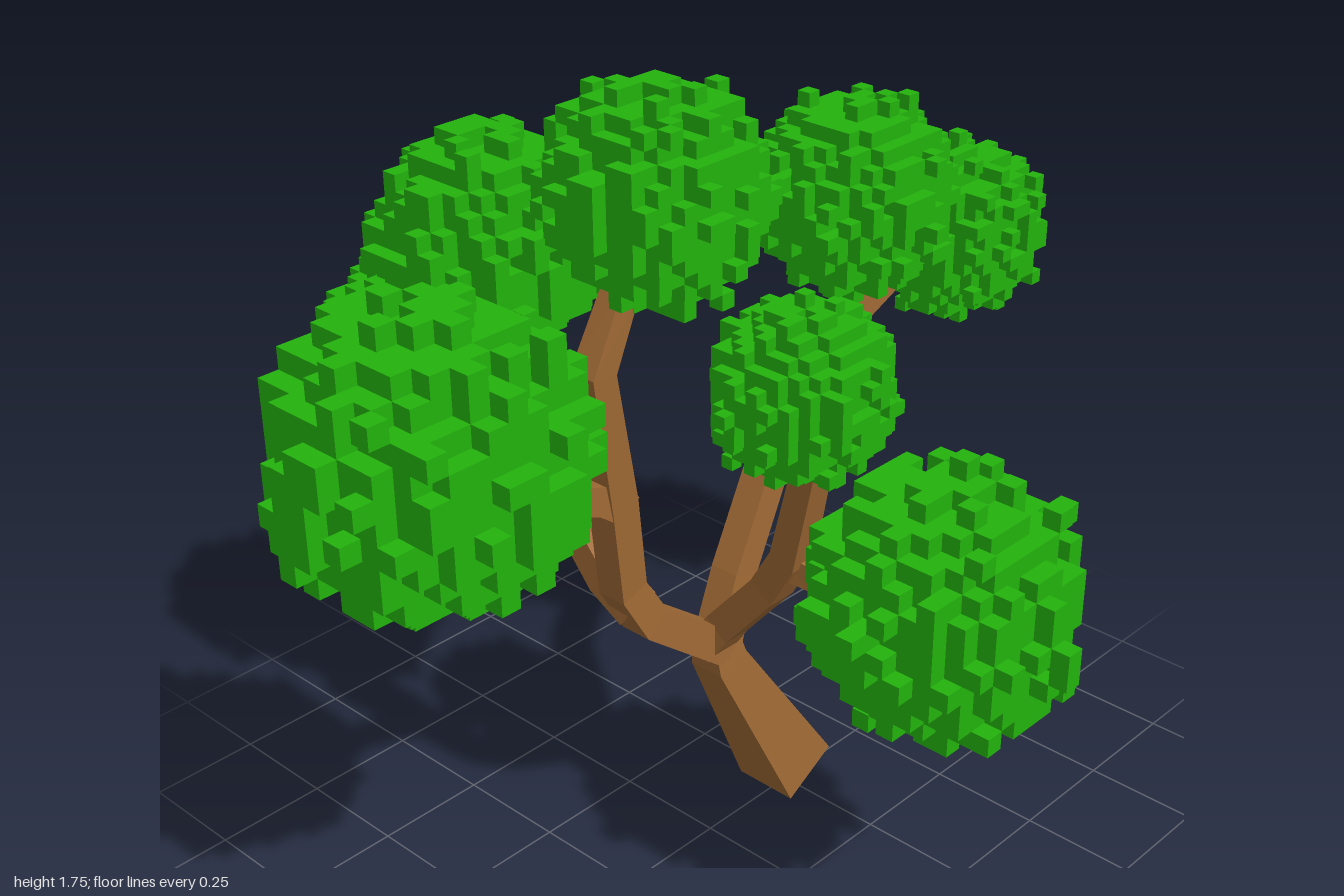
import * as THREE from 'three';

const bark = new THREE.MeshStandardMaterial({ color: 0xa06a35 });
bark.name = 'bark brown';
const leaf = new THREE.MeshStandardMaterial({ color: 0x23b30d });
leaf.name = 'leaf green';

// Seeded random numbers
function seeded(seed) {
  let s = seed;
  return () => {
    s = (s + 0x6d2b79f5) | 0;
    let t = Math.imul(s ^ (s >>> 15), 1 | s);
    t = (t + Math.imul(t ^ (t >>> 7), 61 | t)) ^ t;
    return ((t ^ (t >>> 14)) >>> 0) / 4294967296;
  };
}

// Turns corners and faces into a mesh with hard edges
function facetedMesh(name, positions, index, material) {
  const indexed = new THREE.BufferGeometry();
  indexed.setAttribute('position', new THREE.Float32BufferAttribute(positions, 3));
  indexed.setIndex(index);
  const geometry = indexed.toNonIndexed();
  geometry.computeVertexNormals();
  const mesh = new THREE.Mesh(geometry, material);
  mesh.name = name;
  return mesh;
}

// Square, mitred limb through stations [x, y, z, half width]
function limb(name, stations, side) {
  const points = stations.map(([x, y, z]) => new THREE.Vector3(x, y, z));
  const positions = [], index = [];
  const last = points.length - 1;
  points.forEach((p, i) => {
    const into = points[Math.max(i, 1)].clone().sub(points[Math.max(i, 1) - 1]).normalize();
    const next = Math.min(i, last - 1);
    const out = points[next + 1].clone().sub(points[next]).normalize();
    const t = into.add(out).normalize();
    const u = side.clone().addScaledVector(t, -side.dot(t)).normalize();
    const v = t.clone().cross(u);
    const h = stations[i][3];
    for (const [a, b] of [[1, 1], [-1, 1], [-1, -1], [1, -1]]) {
      const c = p.clone().addScaledVector(u, a * h).addScaledVector(v, b * h);
      positions.push(c.x, c.y, c.z);
    }
    if (i === last) return;
    for (let j = 0; j < 4; j++) {
      const a = i * 4 + j, b = i * 4 + (j + 1) % 4;
      index.push(a, b, b + 4, a, b + 4, a + 4);
    }
  });
  const e = last * 4;
  index.push(0, 2, 1, 0, 3, 2, e, e + 1, e + 2, e, e + 2, e + 3);
  return facetedMesh(name, positions, index, bark);
}

// Rough ball of cubes; only the exposed cube faces are built
function leafBall(name, [x, y, z, radius], seed) {
  const random = seeded(seed);
  const cell = radius / 6.5, n = 8, w = 2 * n + 1;
  const solid = new Uint8Array(w * w * w);
  const at = (i, j, k) => ((i + n) * w + j + n) * w + k + n;
  for (let i = -7; i <= 7; i++) for (let j = -7; j <= 7; j++) for (let k = -7; k <= 7; k++) {
    const d = Math.hypot(i, j, k);
    const bump = random() < 0.06 ? 7.1 : 0;
    solid[at(i, j, k)] = d < Math.max(5.8 + 0.9 * random(), bump) ? 1 : 0;
  }
  const positions = [], index = [];
  for (let i = -7; i <= 7; i++) for (let j = -7; j <= 7; j++) for (let k = -7; k <= 7; k++) {
    if (!solid[at(i, j, k)]) continue;
    for (let axis = 0; axis < 3; axis++) for (const s of [-1, 1]) {
      const step = [0, 0, 0];
      step[axis] = s;
      if (solid[at(i + step[0], j + step[1], k + step[2])]) continue;
      const first = positions.length / 3;
      for (const [a, b] of [[-1, -1], [1, -1], [1, 1], [-1, 1]]) {
        const c = [i, j, k];
        c[axis] += s / 2;
        c[(axis + 1) % 3] += a * s / 2;
        c[(axis + 2) % 3] += b / 2;
        positions.push(x + c[0] * cell, y + c[1] * cell, z + c[2] * cell);
      }
      index.push(first, first + 1, first + 2, first, first + 2, first + 3);
    }
  }
  return facetedMesh(name, positions, index, leaf);
}

export function createModel() {
  const tree = new THREE.Group();
  tree.name = 'tree';
  const X = new THREE.Vector3(1, 0, 0), Z = new THREE.Vector3(0, 0, 1);

  // Leaning trunk and its limbs
  const limbs = [
    ['trunk', Z, [[0.265, 0.038, -0.015, 0.075], [0.04, 0.43, -0.012, 0.042], [0.02, 0.52, -0.01, 0.032]]],
    ['leftBranch', Z, [[0.03, 0.44, -0.015, 0.038], [0.09, 0.62, -0.015, 0.034], [0.23, 0.91, -0.015, 0.033],
      [0.42, 1.09, -0.015, 0.032], [0.64, 1.17, -0.015, 0.026]]],
    ['leftUpperTwig', Z, [[0.4, 1.07, -0.01, 0.03], [0.48, 1.16, -0.01, 0.03], [0.46, 1.3, 0, 0.024]]],
    ['rightBranch', Z, [[0.04, 0.46, -0.01, 0.038], [-0.18, 0.63, -0.01, 0.036], [-0.24, 0.73, -0.01, 0.034],
      [-0.27, 0.94, 0, 0.034], [-0.33, 1.24, 0.02, 0.03], [-0.26, 1.4, 0.03, 0.025]]],
    ['rightOuterTwig', Z, [[-0.25, 0.92, 0, 0.032], [-0.32, 0.97, 0, 0.03], [-0.52, 1.05, 0, 0.026]]],
    ['backBranch', X, [[-0.21, 0.67, 0, 0.034], [-0.22, 0.72, -0.07, 0.033], [-0.23, 0.98, -0.28, 0.031],
      [-0.24, 1.2, -0.34, 0.025]]],
    ['backOuterTwig', X, [[-0.23, 0.96, -0.26, 0.03], [-0.22, 0.99, -0.33, 0.028], [-0.2, 1.02, -0.48, 0.025]]],
    ['frontBranch', X, [[0.02, 0.47, -0.02, 0.036], [0.02, 0.54, 0.03, 0.034], [0.01, 0.69, 0.16, 0.033],
      [0, 0.79, 0.22, 0.032], [-0.03, 1.07, 0.3, 0.027]]],
    ['frontOuterTwig', X, [[0.01, 0.77, 0.2, 0.03], [0.02, 0.76, 0.27, 0.028], [0.03, 0.72, 0.37, 0.025]]],
  ];
  for (const [name, side, stations] of limbs) tree.add(limb(name, stations, side));

  // Leaf clusters: centre and radius
  const clusters = {
    rightLeaves: [-0.69, 1.2, -0.02, 0.283],
    leftUpperLeaves: [0.42, 1.37, 0, 0.2],
    leftOuterLeaves: [0.8, 1.18, -0.02, 0.187],
    frontLeaves: [0.04, 0.81, 0.56, 0.256],
    topLeaves: [-0.18, 1.55, 0.04, 0.205],
    frontUpperLeaves: [-0.05, 1.19, 0.28, 0.172],
    backUpperLeaves: [-0.18, 1.33, -0.42, 0.225],
    backOuterLeaves: [-0.19, 1.03, -0.62, 0.215],
  };
  Object.entries(clusters).forEach(([name, ball], i) => tree.add(leafBall(name, ball, 11 + i * 37)));
  return tree;
}
